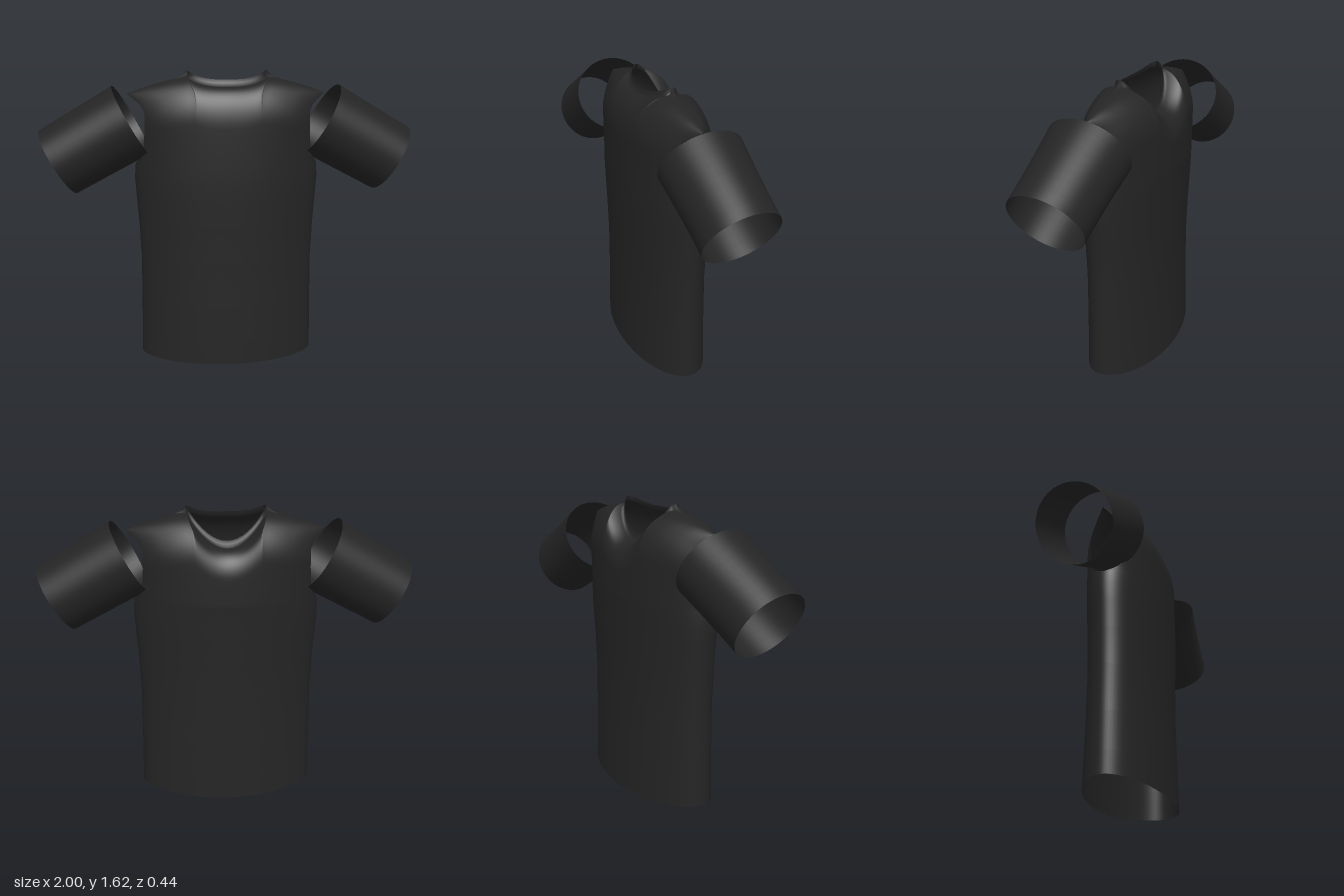
import * as THREE from 'three';
import { mergeVertices } from 'three/addons/utils/BufferGeometryUtils.js';

const lerp = THREE.MathUtils.lerp;

// Piecewise linear lookup in [position, value] knots
function sample(knots, p) {
  for (let i = 1; i < knots.length; i++) {
    const [p0, v0] = knots[i - 1], [p1, v1] = knots[i];
    if (p <= p1) return lerp(v0, v1, (p - p0) / (p1 - p0));
  }
  return knots[knots.length - 1][1];
}

// Torso rows below the armhole: height, half width, front depth, back depth
const TORSO = [
  [0, 0.485, 0.2, 0.215], [0.15, 0.483, 0.197, 0.21], [0.35, 0.479, 0.192, 0.204],
  [0.6, 0.476, 0.19, 0.2], [0.8, 0.484, 0.194, 0.204], [0.95, 0.494, 0.198, 0.21], [1.05, 0.5, 0.2, 0.213],
];
const ARM_Y = 1.12;
// Armhole edge from underarm to shoulder tip
const ARMHOLE = [[0, 0.495], [0.1, 0.465], [0.22, 0.447], [0.5, 0.44], [0.75, 0.437], [0.85, 0.455], [1, 0.53]];
const SHOULDER = [[0.21, 1.585], [0.26, 1.578], [0.33, 1.563], [0.43, 1.535], [0.53, 1.5]];
const TIP = 0.53, NECK = 0.21;

// Column positions from -1 to 1, dense at the sides and neck corners
function columns() {
  const sN = NECK / TIP, a = Math.asin(sN), half = [];
  for (let i = 1; i <= 12; i++) half.push(sN * Math.sin((i / 12) * Math.PI / 2));
  for (let i = 1; i <= 16; i++) half.push(Math.sin(lerp(a, Math.PI / 2, i / 16)));
  return [...half.map(s => -s).reverse(), 0, ...half];
}

// Top of a column: base height, collar lift and depth of the rim
function topEdge(s, front) {
  const x = Math.abs(s) * TIP, q = Math.min(1, x / NECK);
  if (x > NECK - 1e-6) {
    return { y: sample(SHOULDER, x), lift: 0.035 * Math.exp(-(x - NECK) / 0.025), z: 0 };
  }
  const rim = front ? 1.575 + 0.045 * q ** 3 : 1.45 + 0.17 * q * q;
  return { y: rim - 0.035, lift: 0.035, z: (front ? 0.075 : 0.09) * Math.sqrt(Math.max(0, 1 - q * q)) };
}

// One column of a panel, hem to rim
function columnPoints(s, front) {
  const sign = front ? 1 : -1, pts = [];
  const round = Math.sqrt(Math.max(0, 1 - s * s));
  TORSO.forEach(([y, w, zf, zb], i) => {
    const hem = i === 0 ? 0.035 - (front ? 0.022 : 0.035) * round * round : y;
    pts.push([w * s, hem, sign * (front ? zf : zb) * round]);
  });
  const top = topEdge(s, front), depth = front ? 0.2 : 0.218;
  const stand = 0.014 * round;
  const ts = [0, 0.05, 0.1, 0.16, 0.22, 0.3, 0.4];
  for (let i = 0; i <= 14; i++) ts.push(0.5 + 0.5 * Math.sin((i / 14) * Math.PI / 2));
  for (const t of ts) {
    const x = sample(ARMHOLE, t) * s, wide = 0.495 + 0.035 * t ** 3;
    const zBody = depth * Math.sqrt(Math.max(0, 1 - (x / wide) ** 2));
    const k = Math.max(0, (t - 0.5) / 0.5);
    const z = lerp(top.z + stand, zBody, Math.sqrt(Math.max(0, 1 - k * k)));
    pts.push([x, lerp(ARM_Y, top.y, t), sign * z]);
  }
  // collar turned up around the neck
  for (const k of [0.5, 1]) {
    pts.push([TIP * s, top.y + top.lift * k, sign * (top.z + stand * (1 - k) ** 2)]);
  }
  return pts;
}

// Front and back panels joined at the sides and shoulders
function bodyGeometry() {
  const cols = columns(), pos = [], index = [];
  for (const front of [true, false]) {
    const base = pos.length / 3;
    const grid = cols.map(s => columnPoints(s, front));
    const rows = grid[0].length;
    grid.forEach(col => col.forEach(p => pos.push(...p)));
    for (let c = 0; c < cols.length - 1; c++) {
      for (let r = 0; r < rows - 1; r++) {
        const a = base + c * rows + r, b = a + rows;
        if (front) index.push(a, b, b + 1, a, b + 1, a + 1);
        else index.push(a, b + 1, b, a, a + 1, b + 1);
      }
    }
  }
  const geo = new THREE.BufferGeometry();
  geo.setAttribute('position', new THREE.Float32BufferAttribute(pos, 3));
  geo.setIndex(index);
  const merged = mergeVertices(geo, 1e-4);
  merged.computeVertexNormals();
  return merged;
}

// Open tapered tube from cuff to shoulder
function sleeveGeometry(side) {
  let geo = new THREE.CylinderGeometry(1, 1, 1, 48, 8, true);
  geo.deleteAttribute('uv');
  geo.deleteAttribute('normal');
  geo = mergeVertices(geo, 1e-4);
  const p = geo.attributes.position;
  for (let i = 0; i < p.count; i++) {
    const t = p.getY(i) + 0.5, u = p.getX(i) * side, v = p.getZ(i);
    const x = lerp(0.905, 0.512, t) + u * lerp(0.095, 0.098, t);
    const y = lerp(1.14, 1.36, t) + u * lerp(0.17, 0.18, t);
    const z = v * (0.196 + 0.008 * t + 0.017 * t * t);
    p.setXYZ(i, side * x, y, z);
  }
  geo.computeVertexNormals();
  return geo;
}

export function createModel() {
  const fabric = new THREE.MeshStandardMaterial({ color: 0x242424, side: THREE.DoubleSide });
  fabric.name = 'black fabric';
  const group = new THREE.Group();
  group.name = 'shirt';
  const add = (name, geo) => {
    const mesh = new THREE.Mesh(geo, fabric);
    mesh.name = name;
    group.add(mesh);
  };
  add('body', bodyGeometry());
  add('leftSleeve', sleeveGeometry(1));
  add('rightSleeve', sleeveGeometry(-1));
  return group;
}
